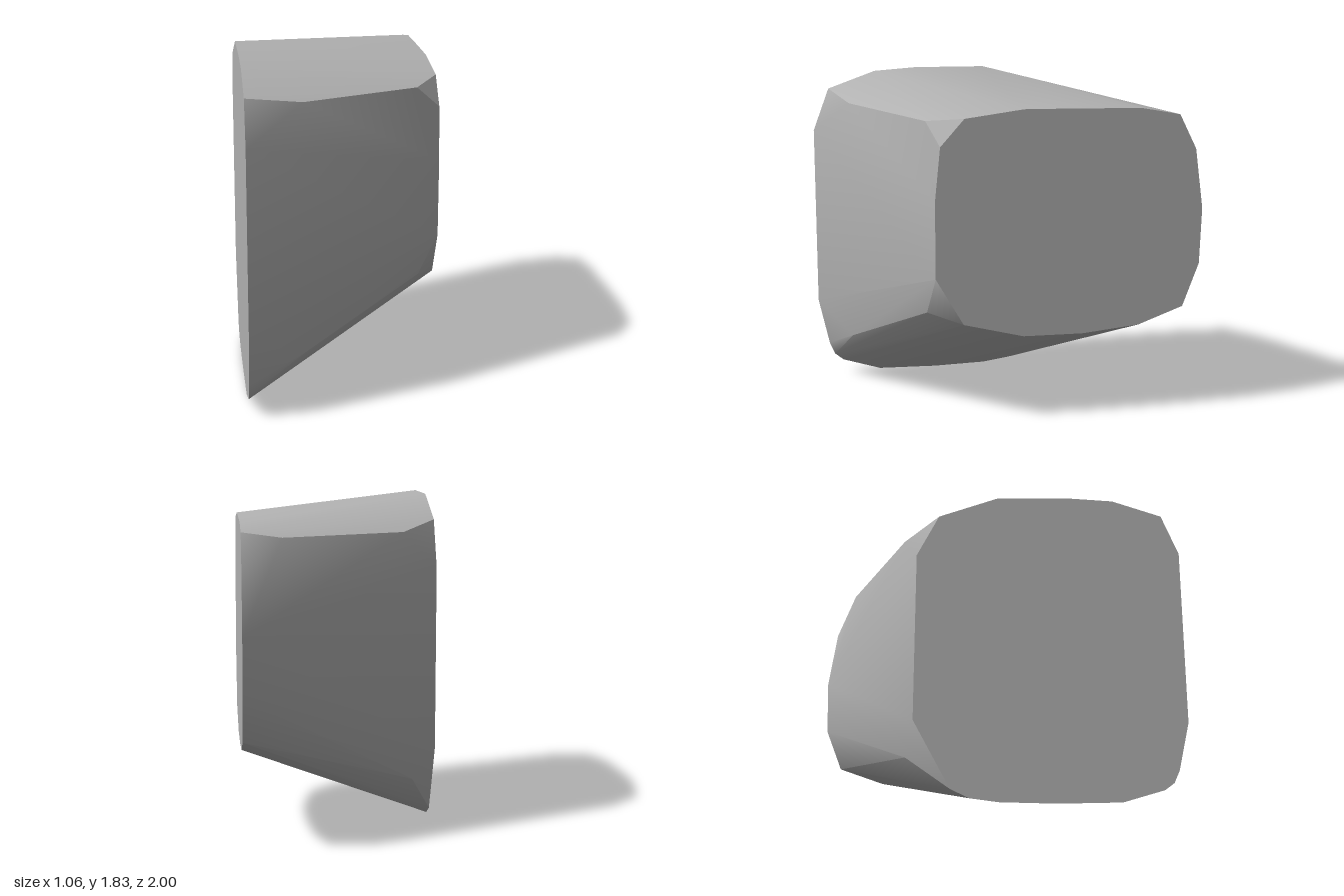
import * as THREE from 'three';
import { toCreasedNormals } from 'three/addons/utils/BufferGeometryUtils.js';
import { ConvexGeometry } from 'three/addons/geometries/ConvexGeometry.js';

const HALF = 0.53;

// Flat end outlines as [z, y]
const largeEnd = [
  [1, 1.48], [0.91, 1.72], [0.64, 1.815], [0.4, 1.83], [0, 1.825], [-0.33, 1.7], [-0.45, 1.45],
  [-0.45, 0.46], [-0.25, 0.075], [-0.15, 0.025], [0, 0.005], [0.3, 0], [0.64, 0.01],
  [0.86, 0.08], [0.91, 0.12], [0.94, 0.19], [1, 0.46],
];
const smallEnd = [
  [0.48, 1.25], [0.45, 1.54], [0.32, 1.685], [0, 1.725], [-0.3, 1.72], [-0.65, 1.71],
  [-0.86, 1.67], [-0.955, 1.48], [-1, 1.15], [-0.99, 0.84], [-0.9, 0.6], [-0.65, 0.51],
  [-0.33, 0.48], [0, 0.485], [0.33, 0.57], [0.48, 0.83],
];
// Corners of the front and back flanks, between the ends, as [x, y, z]
const flankCorners = [
  [-0.23, 1.675, 0.83], [0.4, 1.66, 0.505], [0.42, 0.62, 0.51], [-0.23, 0.32, 0.835],
  [-0.34, 1.645, -0.525], [0.32, 1.64, -0.84], [-0.4, 0.3, -0.49],
];

export function createModel() {
  const group = new THREE.Group();
  group.name = 'skewedBlock';
  const stoneGrey = new THREE.MeshStandardMaterial({ color: 0xb2b2b2 });
  stoneGrey.name = 'stone grey';

  // Rounded skewed block: convex skin over both ends and the flank corners
  const section = (outline, x) => outline.map(([z, y]) => new THREE.Vector3(x, y, z));
  const points = [
    ...section(largeEnd, -HALF),
    ...section(smallEnd, HALF),
    ...flankCorners.map((p) => new THREE.Vector3(...p)),
  ];
  const skin = new ConvexGeometry(points);
  const block = new THREE.Mesh(toCreasedNormals(skin, THREE.MathUtils.degToRad(32)), stoneGrey);
  block.name = 'block';
  group.add(block);
  return group;
}
